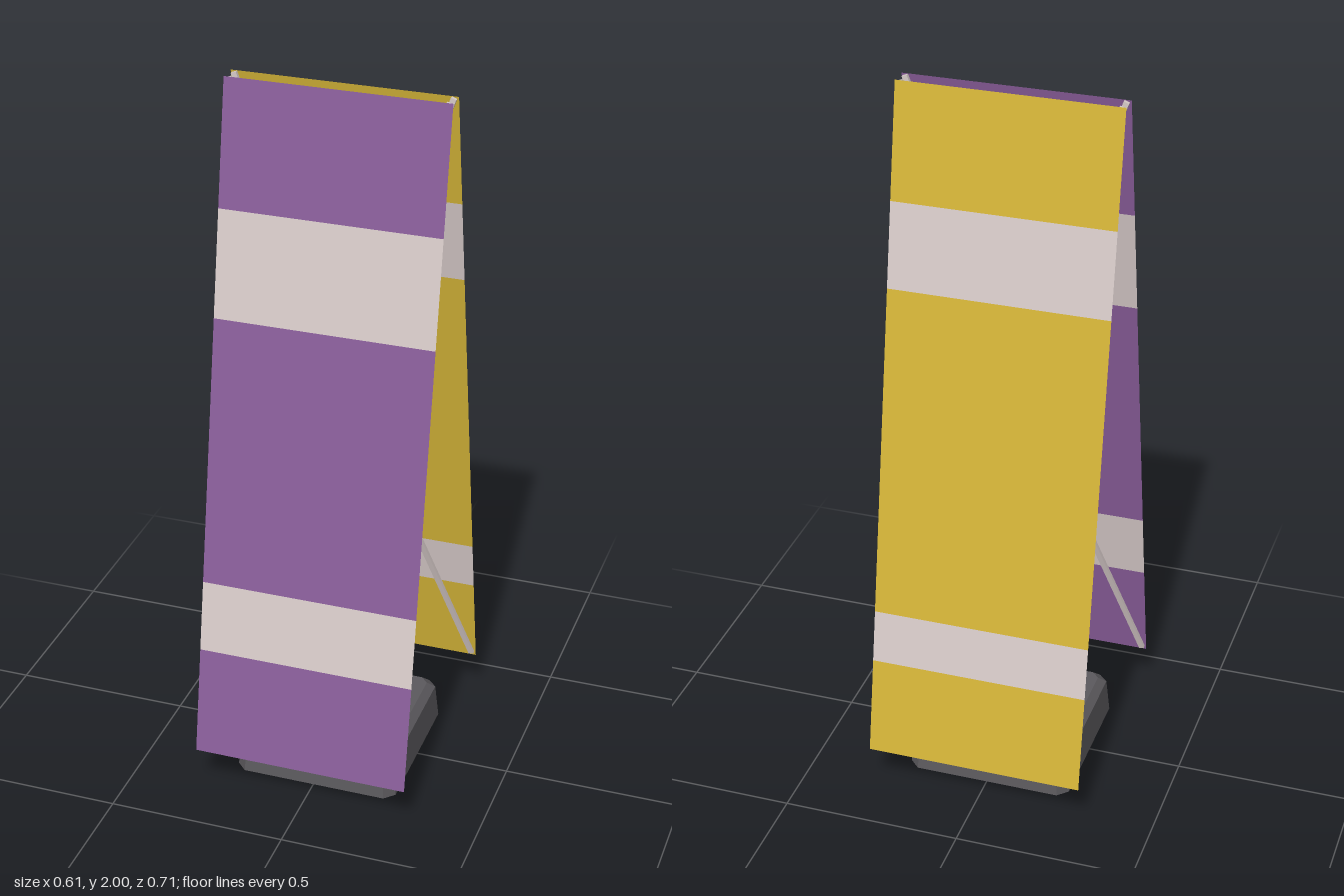
import * as THREE from 'three';

const mat = (name, color, extra = {}) => {
  const m = new THREE.MeshStandardMaterial({ color, ...extra });
  m.name = name;
  return m;
};

// Loft through chamfered-square rings given as [half width, chamfer, y]
function squareLoft(rings) {
  const loops = rings.map(([h, c, y]) => {
    const k = h - c;
    return [[h, -k], [h, k], [k, h], [-k, h], [-h, k], [-h, -k], [-k, -h], [k, -h]].map(([x, z]) => [x, y, z]);
  });
  const pos = [];
  for (let r = 0; r < loops.length - 1; r++) {
    const a = loops[r], b = loops[r + 1];
    for (let i = 0; i < 8; i++) {
      const j = (i + 1) % 8;
      if (rings[r][0] > 0) pos.push(...a[i], ...b[i], ...a[j]);
      if (rings[r + 1][0] > 0) pos.push(...a[j], ...b[i], ...b[j]);
    }
  }
  const g = new THREE.BufferGeometry();
  g.setAttribute('position', new THREE.Float32BufferAttribute(pos, 3));
  g.computeVertexNormals();
  return g;
}

export function createModel() {
  const group = new THREE.Group();
  const grey = mat('dark grey', 0x5c5a5e, { flatShading: true });
  const pale = mat('pale stripe', 0xd8cccA, { side: THREE.DoubleSide });
  const purple = mat('purple', 0x8a5e9b, { side: THREE.DoubleSide });
  const gold = mat('gold', 0xd6b638, { side: THREE.DoubleSide });

  const add = (name, geometry, material, parent = group) => {
    const m = new THREE.Mesh(geometry, material);
    m.name = name;
    parent.add(m);
    return m;
  };
  // Eight-sided upright drum between two heights
  const drum = (name, rTop, rBottom, y0, y1) => {
    add(name, new THREE.CylinderGeometry(rTop, rBottom, y1 - y0, 8), grey).position.y = (y0 + y1) / 2;
  };

  // Hollow foot, open underneath
  add('base', squareLoft([
    [0, 0, 0.1], [0.18, 0.02, 0.1], [0.215, 0.025, 0], [0.235, 0.028, 0],
    [0.226, 0.026, 0.1], [0.205, 0.022, 0.12], [0, 0, 0.12],
  ]), grey);

  // Centre post with collar and hub
  drum('collar', 0.08, 0.08, 0.096, 0.17);
  drum('collarTop', 0.068, 0.08, 0.17, 0.18);
  drum('pole', 0.019, 0.019, 0.18, 1.17);
  drum('hub', 0.034, 0.034, 1.172, 1.21);
  drum('hubTaper', 0.034, 0.026, 1.16, 1.172);
  drum('poleTip', 0.016, 0.016, 1.21, 1.29);
  add('hubBracket', new THREE.BoxGeometry(0.022, 0.03, 0.064), grey).position.y = 1.188;

  // Flat bar between two points, its thin side facing away from the x axis
  const bar = (name, from, to) => {
    const dir = to.clone().sub(from);
    const length = dir.length();
    dir.normalize();
    const thin = new THREE.Vector3(1, 0, 0).cross(dir).normalize();
    const wide = dir.clone().cross(thin);
    const m = add(name, new THREE.BoxGeometry(0.015, length, 0.01), pale);
    m.quaternion.setFromRotationMatrix(new THREE.Matrix4().makeBasis(wide, dir, thin));
    m.position.copy(from).add(to).multiplyScalar(0.5);
  };
  for (const s of [1, -1]) {
    for (const x of [0.293, -0.293]) {
      bar('upperArm', new THREE.Vector3(0, 1.19, s * 0.019), new THREE.Vector3(x, 1.997, s * 0.019));
      bar('lowerArm', new THREE.Vector3(0, 1.185, s * 0.022), new THREE.Vector3(x, 0.142, s * 0.345));
    }
  }

  // Leaning banner sheets, split into colour bands by height
  const top = 2, bottom = 0.13;
  const sheet = (name, side, colour, heights) => {
    const panel = new THREE.Group();
    panel.name = name;
    group.add(panel);
    const zAt = (y) => side * (0.025 + 0.329 * (top - y) / (top - bottom));
    for (let i = 0; i < heights.length - 1; i++) {
      const g = new THREE.PlaneGeometry(0.608, 1);
      const p = g.attributes.position;
      for (let v = 0; v < p.count; v++) {
        const y = p.getY(v) > 0 ? heights[i + 1] : heights[i];
        p.setXYZ(v, p.getX(v) * side, y, zAt(y));
      }
      g.computeVertexNormals();
      add(i % 2 ? 'stripe' : 'band', g, i % 2 ? pale : colour, panel);
    }
  };
  sheet('frontBanner', 1, purple, [bottom, 0.432, 0.63, 1.368, 1.66, top]);
  sheet('backBanner', -1, gold, [bottom, 0.4, 0.546, 1.456, 1.688, top]);

  return group;
}
